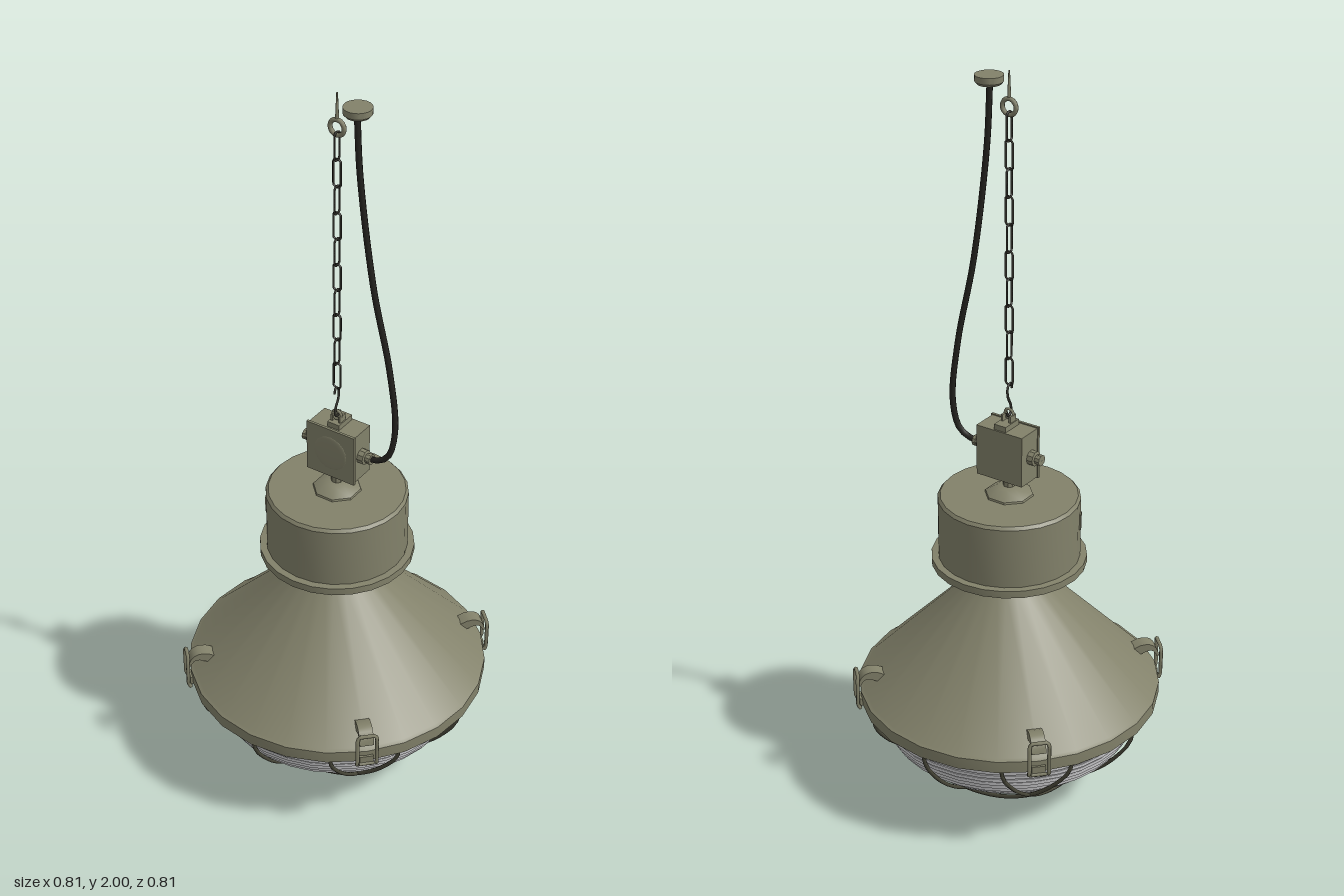
import * as THREE from 'three';
import { toCreasedNormals } from 'three/addons/utils/BufferGeometryUtils.js';

const olive = new THREE.MeshStandardMaterial({ name: 'olive paint', color: 0x82816a });
const darkOlive = new THREE.MeshStandardMaterial({ name: 'dark olive wire', color: 0x49483a });
const black = new THREE.MeshStandardMaterial({ name: 'black rubber', color: 0x24231f });
const steel = new THREE.MeshStandardMaterial({ name: 'dark steel', color: 0x34332c });
const glass = new THREE.MeshStandardMaterial({ name: 'grey glass', color: 0xcdcdcf, side: THREE.DoubleSide });

const v = (x, y, z = 0) => new THREE.Vector3(x, y, z);

function add(parent, name, geometry, material, x = 0, y = 0, z = 0) {
  const mesh = new THREE.Mesh(geometry, material);
  mesh.name = name;
  mesh.position.set(x, y, z);
  parent.add(mesh);
  return mesh;
}

// Revolved profile, listed from the bottom outwards and up
function lathe(profile, segments = 24) {
  const points = profile.map(([r, y]) => new THREE.Vector2(r, y));
  return toCreasedNormals(new THREE.LatheGeometry(points, segments), 0.5);
}

function tube(points, radius, steps = 24, sides = 6) {
  return new THREE.TubeGeometry(new THREE.CatmullRomCurve3(points), steps, radius, sides, false);
}

// Closed wire loop bent along straight runs
function wireLoop(points, radius) {
  const path = new THREE.CurvePath();
  points.forEach((p, i) => path.add(new THREE.LineCurve3(p, points[(i + 1) % points.length])));
  return new THREE.TubeGeometry(path, 40, radius, 5, true);
}

function addShade(lamp) {
  add(lamp, 'shade', lathe([
    [0.355, 0.285], [0.365, 0.27], [0.405, 0.27], [0.405, 0.303],
    [0.395, 0.308], [0.094, 0.62], [0.094, 0.7],
  ]), olive);
  // Gear housing with stepped underside and flange
  add(lamp, 'gearHousing', lathe([
    [0.09, 0.69], [0.125, 0.69], [0.125, 0.68], [0.155, 0.68], [0.155, 0.687], [0.18, 0.687],
    [0.18, 0.67], [0.205, 0.67], [0.205, 0.69], [0.187, 0.691],
    [0.187, 0.857], [0.18, 0.865], [0.001, 0.865],
  ]), olive);
  add(lamp, 'stemCollar', lathe([[0.065, 0.864], [0.063, 0.87], [0.032, 0.888], [0.016, 0.89], [0.016, 0.925]], 8), olive)
    .rotation.y = Math.PI / 8;
  add(lamp, 'housingBadge', new THREE.BoxGeometry(0.02, 0.045, 0.008), olive, -0.166, 0.798, 0.082)
    .rotation.y = -Math.atan2(0.166, 0.082);
}

function addGlass(lamp) {
  // Smooth bowl, with raised rings on its upper part
  const radiusAt = y => 0.357 * Math.sqrt(1 - ((0.27 - y) / 0.248) ** 2);
  const profile = [];
  for (let i = 0; i <= 10; i++) {
    const a = (i / 10) * 1.06;
    profile.push([Math.max(0.0005, 0.357 * Math.sin(a)), 0.27 - 0.248 * Math.cos(a)]);
  }
  for (let i = 0; i < 8; i++) {
    const y = 0.152 + i * 0.0152;
    const r = radiusAt(y + 0.006);
    profile.push([r + 0.003, y], [r + 0.004, y + 0.01], [r - 0.002, y + 0.011], [r - 0.001, y + 0.0145]);
  }
  profile.push([0.357, 0.276]);
  add(lamp, 'glassBowl', lathe(profile, 32), glass);
}

function addGuard(lamp) {
  // Three bowed wires each way
  const guard = new THREE.Group();
  guard.name = 'wireGuard';
  lamp.add(guard);
  const R = 0.4377;
  for (const turn of [0, Math.PI / 2]) {
    for (const offset of [-0.205, 0, 0.205]) {
      const half = Math.sqrt(0.394 ** 2 - offset ** 2);
      const points = [];
      for (let i = 0; i <= 14; i++) {
        const t = Math.sin((i / 14 - 0.5) * Math.PI) * half;
        points.push(v(t, 0.006 + R - Math.sqrt(R * R - t * t - offset * offset), offset));
      }
      points[0].y = points[14].y = 0.275;
      add(guard, 'guardWire', tube(points, 0.0055, 32, 6), darkOlive).rotation.y = turn;
    }
  }
}

function addClips(lamp) {
  // Curled latch strip, drawn as radius against height
  const strip = new THREE.Shape();
  strip.moveTo(0.338, 0.358);
  strip.lineTo(0.36, 0.368);
  strip.quadraticCurveTo(0.405, 0.378, 0.413, 0.33);
  strip.lineTo(0.406, 0.33);
  strip.quadraticCurveTo(0.398, 0.358, 0.372, 0.345);
  strip.lineTo(0.355, 0.338);
  strip.closePath();
  const latch = toCreasedNormals(new THREE.ExtrudeGeometry(strip, { depth: 0.038, bevelEnabled: false, curveSegments: 6 }), 0.6);
  latch.translate(0, 0, -0.019);
  for (let i = 0; i < 4; i++) {
    const clip = new THREE.Group();
    clip.name = 'rimClip';
    clip.rotation.y = Math.PI / 4 + (i * Math.PI) / 2;
    lamp.add(clip);
    add(clip, 'latch', latch, olive);
    add(clip, 'bail', wireLoop([
      v(0.41, 0.265, -0.026), v(0.416, 0.275, -0.026), v(0.416, 0.352, -0.026), v(0.414, 0.364, -0.022),
      v(0.414, 0.364, 0.022), v(0.416, 0.352, 0.026), v(0.416, 0.275, 0.026), v(0.41, 0.265, 0.026),
    ], 0.0055), olive);
    add(clip, 'clipFoot', new THREE.BoxGeometry(0.016, 0.022, 0.036), olive, 0.402, 0.278, 0);
  }
}

function addJunctionBox(lamp) {
  const box = new THREE.Group();
  box.name = 'junctionBox';
  lamp.add(box);
  add(box, 'boxBody', new THREE.BoxGeometry(0.14, 0.14, 0.072), olive, 0, 0.993, -0.01);
  add(box, 'boxLid', new THREE.BoxGeometry(0.146, 0.146, 0.007), olive, 0, 0.993, 0.028);
  const dome = add(box, 'lidDome', new THREE.SphereGeometry(0.05, 20, 6, 0, Math.PI * 2, 0, Math.PI / 2), olive, 0, 0.993, 0.031);
  dome.rotation.x = Math.PI / 2;
  dome.scale.y = 0.08;
  for (const side of [-1, 1]) {
    const gland = add(box, 'cableGland', lathe([
      [0.0005, 0], [0.02, 0], [0.02, 0.018], [0.013, 0.02], [0.013, 0.026], [0.015, 0.026], [0.015, 0.035], [0.0005, 0.035],
    ], 10), olive, side * 0.069, 0.993, -0.005);
    gland.rotation.z = -side * Math.PI / 2;
  }
  // Lifting bracket on top of the box
  add(box, 'bracketBase', new THREE.BoxGeometry(0.036, 0.016, 0.06), olive, 0, 1.07, -0.012);
  for (const x of [-0.012, 0.012]) add(box, 'bracketEar', new THREE.BoxGeometry(0.006, 0.03, 0.024), olive, x, 1.081, -0.004);
  add(box, 'bracketEye', new THREE.TorusGeometry(0.013, 0.004, 6, 14), olive, 0, 1.096, 0);
}

function addSuspension(lamp) {
  // Ceiling ring and screw
  add(lamp, 'ceilingRing', new THREE.TorusGeometry(0.02, 0.006, 8, 18), olive, 0, 1.91, 0);
  add(lamp, 'ceilingScrew', new THREE.CylinderGeometry(0.002, 0.005, 0.07, 8), olive, 0, 1.965, 0);

  // Alternating links
  const chain = new THREE.Group();
  chain.name = 'chain';
  lamp.add(chain);
  const w = 0.0105, h = 0.037;
  const link = wireLoop([
    v(-w, -h + 0.005), v(-w + 0.005, -h), v(w - 0.005, -h), v(w, -h + 0.005),
    v(w, h - 0.005), v(w - 0.005, h), v(-w + 0.005, h), v(-w, h - 0.005),
  ], 0.003);
  for (let i = 0; i < 10; i++) {
    add(chain, 'chainLink', link, steel, 0, 1.215 + i * 0.0718, 0).rotation.y = i % 2 ? Math.PI / 2 : 0;
  }
  add(chain, 'chainHook', tube([
    v(0, 1.165, 0.012), v(0, 1.18, 0.006), v(0, 1.172, -0.006), v(0, 1.145, -0.006),
    v(0, 1.12, 0.006), v(0, 1.1, 0.008), v(0, 1.09, -0.004), v(0, 1.105, -0.012),
  ], 0.0035, 28, 6), steel);

  // Ceiling rose and power cable
  add(lamp, 'ceilingRose', lathe([
    [0.0005, 1.957], [0.03, 1.957], [0.036, 1.964], [0.036, 1.98], [0.0005, 1.98],
  ], 20), olive, 0.058);
  add(lamp, 'powerCable', tube([
    v(0.056, 1.96), v(0.064, 1.8, -0.002), v(0.1, 1.5, -0.01), v(0.145, 1.27, -0.018),
    v(0.164, 1.1, -0.018), v(0.15, 1.02, -0.011), v(0.125, 0.998, -0.006), v(0.098, 0.993, -0.005),
  ], 0.008, 48, 8), black);
}

export function createModel() {
  const lamp = new THREE.Group();
  lamp.name = 'pendantLamp';
  addShade(lamp);
  addGlass(lamp);
  addGuard(lamp);
  addClips(lamp);
  addJunctionBox(lamp);
  addSuspension(lamp);
  return lamp;
}
